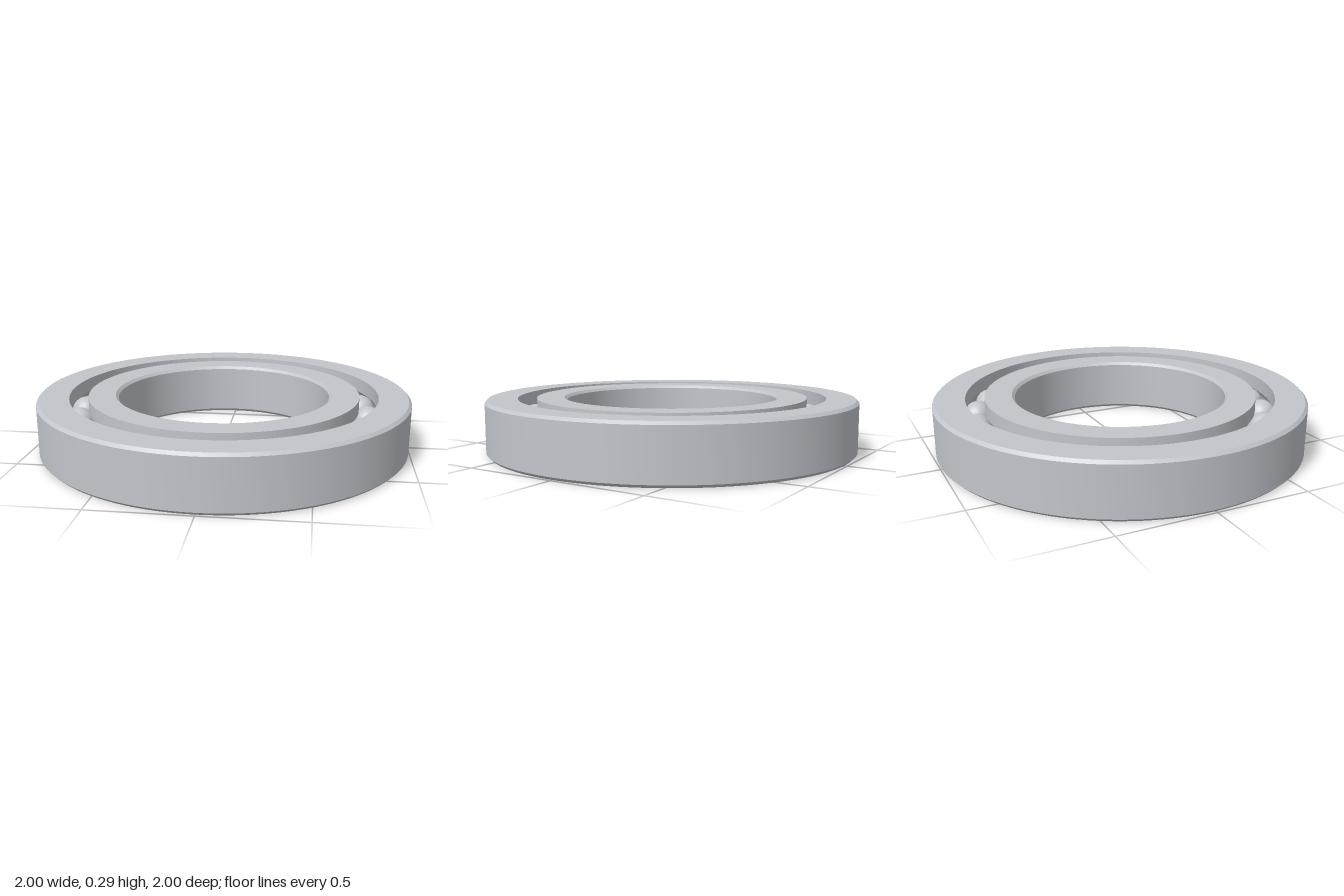
import * as THREE from 'three';
import { toCreasedNormals } from 'three/addons/utils/BufferGeometryUtils.js';

const HEIGHT = 0.286, MID = HEIGHT / 2, CHAMFER = 0.015;
const OUTER = 1, OUTER_WALL = 0.83, INNER_WALL = 0.73, BORE = 0.57;
const PITCH = 0.78, BALL_RADIUS = 0.081, GROOVE_RADIUS = 0.083, BALLS = 22;

// Raceway arc about the ball centre; side +1 cuts the outer ring, -1 the inner one.
// The points run downward for +1 and upward for -1.
function groove(side) {
  const half = Math.acos((OUTER_WALL - PITCH) / GROOVE_RADIUS);
  const points = [];
  for (let i = 0; i <= 14; i++) {
    const a = half * (1 - (2 * i) / 14);
    points.push([PITCH + side * GROOVE_RADIUS * Math.cos(a), MID + side * GROOVE_RADIUS * Math.sin(a)]);
  }
  return points;
}

// Closed profile, counter-clockwise in (radius, height), turned into a ring
function ring(name, profile, material) {
  const points = [...profile, profile[0]].map(([r, y]) => new THREE.Vector2(r, y));
  const mesh = new THREE.Mesh(toCreasedNormals(new THREE.LatheGeometry(points, 128), 0.5), material);
  mesh.name = name;
  return mesh;
}

export function createModel() {
  const model = new THREE.Group();
  model.name = 'ballBearing';
  const steel = new THREE.MeshStandardMaterial({ color: 0xc2c6cc });
  steel.name = 'steel';

  // Outer ring, chamfered outside and grooved inside
  model.add(ring('outerRing', [
    [OUTER_WALL, 0], [OUTER - CHAMFER, 0], [OUTER, CHAMFER],
    [OUTER, HEIGHT - CHAMFER], [OUTER - CHAMFER, HEIGHT], [OUTER_WALL, HEIGHT],
    ...groove(1),
  ], steel));

  // Inner ring, grooved outside and chamfered at the bore
  model.add(ring('innerRing', [
    [BORE + CHAMFER, 0], [INNER_WALL, 0],
    ...groove(-1),
    [INNER_WALL, HEIGHT], [BORE + CHAMFER, HEIGHT], [BORE, HEIGHT - CHAMFER], [BORE, CHAMFER],
  ], steel));

  // Balls spaced evenly along the raceway
  const balls = new THREE.Group();
  balls.name = 'balls';
  const sphere = new THREE.SphereGeometry(BALL_RADIUS, 32, 20);
  for (let i = 0; i < BALLS; i++) {
    const a = (i / BALLS) * Math.PI * 2;
    const ball = new THREE.Mesh(sphere, steel);
    ball.name = `ball${i + 1}`;
    ball.position.set(PITCH * Math.cos(a), MID, PITCH * Math.sin(a));
    balls.add(ball);
  }
  model.add(balls);
  return model;
}
